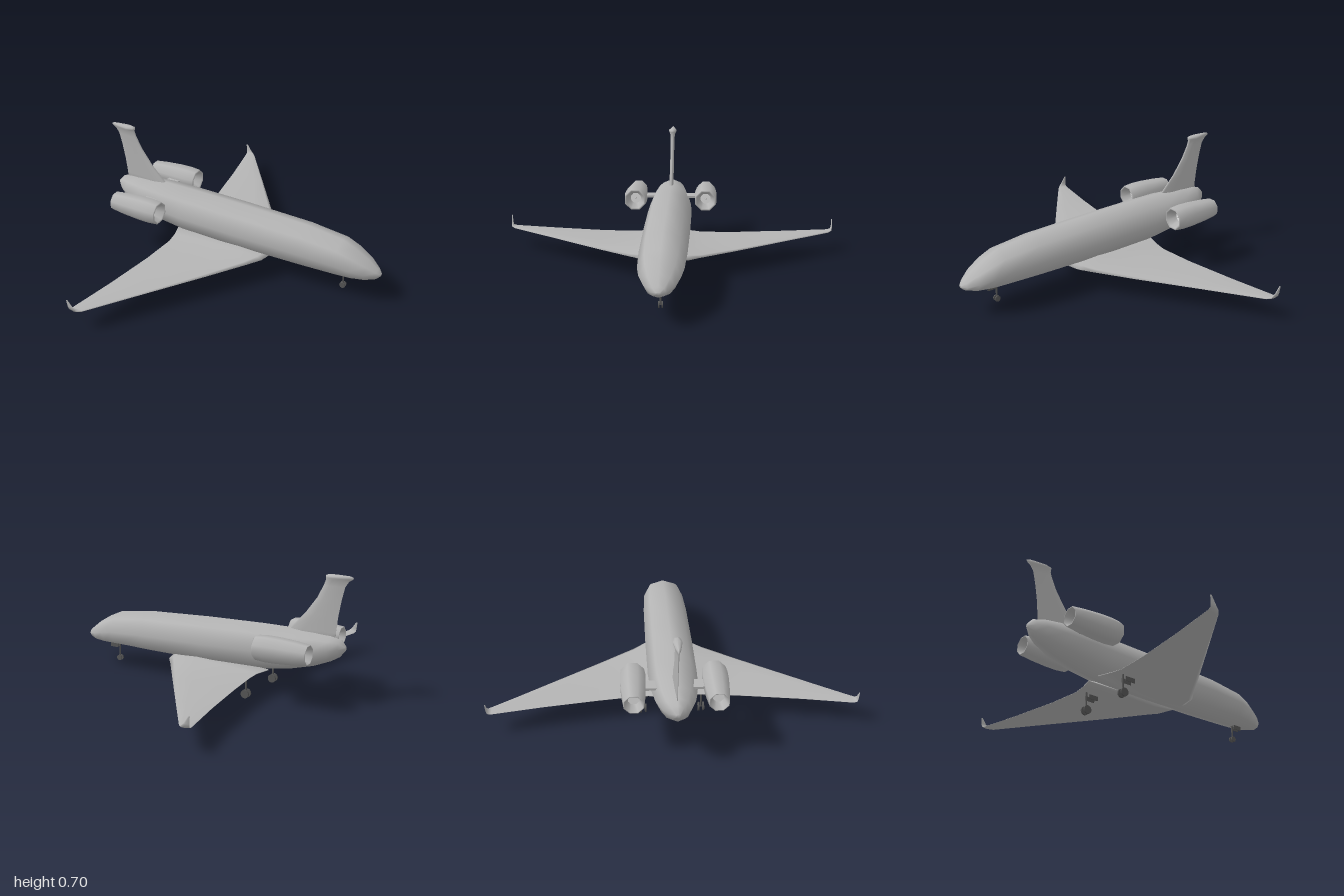
import * as THREE from 'three';

const paint = new THREE.MeshStandardMaterial({ color: 0xb4b4b4 });
paint.name = 'grey paint';
const gearMetal = new THREE.MeshStandardMaterial({ color: 0x555555 });
gearMetal.name = 'dark gear metal';
const fanMetal = new THREE.MeshStandardMaterial({ color: 0xf0f0f0 });
fanMetal.name = 'pale fan metal';

// Skins a list of rings (arrays of [x, y, z]) into a closed solid, facing outward
function loft(rings) {
  const n = rings[0].length, pos = [], idx = [];
  rings.forEach(r => r.forEach(p => pos.push(...p)));
  for (let i = 0; i < rings.length - 1; i++) {
    for (let j = 0; j < n; j++) {
      const a = i * n + j, b = i * n + (j + 1) % n;
      idx.push(a, b, a + n, b, b + n, a + n);
    }
  }
  const last = (rings.length - 1) * n;
  for (let j = 1; j < n - 1; j++) {
    idx.push(0, j + 1, j, last, last + j, last + j + 1);
  }
  // flip the winding when the enclosed volume comes out negative
  let volume = 0;
  const v = i => new THREE.Vector3().fromArray(pos, i * 3);
  for (let i = 0; i < idx.length; i += 3) volume += v(idx[i]).dot(v(idx[i + 1]).cross(v(idx[i + 2])));
  if (volume < 0) idx.reverse();
  const g = new THREE.BufferGeometry();
  g.setAttribute('position', new THREE.Float32BufferAttribute(pos, 3));
  g.setIndex(idx);
  g.computeVertexNormals();
  return g;
}

// Aerofoil outline: chord fraction, thickness fraction
const FOIL = [[0, 0], [0.05, 0.6], [0.3, 1], [0.7, 0.6], [1, 0.08], [1, -0.08], [0.7, -0.6], [0.3, -1], [0.05, -0.6]];

function add(parent, name, geometry, material, x = 0, y = 0, z = 0) {
  const m = new THREE.Mesh(geometry, material);
  m.name = name;
  m.position.set(x, y, z);
  parent.add(m);
  return m;
}

function fuselage() {
  // x, bottom, top, half width
  const stations = [
    [-0.83, 0.30, 0.325, 0.012], [-0.8, 0.262, 0.358, 0.045], [-0.75, 0.232, 0.37, 0.075],
    [-0.65, 0.19, 0.38, 0.105], [-0.5, 0.15, 0.388, 0.126], [-0.35, 0.128, 0.388, 0.133],
    [0, 0.117, 0.38, 0.134], [0.4, 0.119, 0.362, 0.13], [0.62, 0.124, 0.332, 0.121],
    [0.7, 0.127, 0.297, 0.108], [0.78, 0.134, 0.25, 0.078], [0.835, 0.15, 0.205, 0.04],
    [0.855, 0.168, 0.184, 0.012]];
  return loft(stations.map(([x, lo, hi, w]) => Array.from({ length: 8 }, (_, i) => {
    const a = i * Math.PI / 4;
    return [x, (lo + hi) / 2 + Math.cos(a) * (hi - lo) / 2, Math.sin(a) * w];
  })));
}

function wing(side) {
  // z, leading x, trailing x, y, half thickness, upward cant
  const stations = [
    [0.04, 0.22, -0.40, 0.138, 0.028, 0], [0.13, 0.195, -0.375, 0.136, 0.024, 0],
    [0.2, 0.14, -0.37, 0.13, 0.013, 0], [0.4, -0.005, -0.39, 0.126, 0.009, 0],
    [0.7, -0.222, -0.435, 0.125, 0.007, 0], [0.97, -0.418, -0.485, 0.124, 0.006, 0],
    [0.99, -0.437, -0.489, 0.13, 0.006, 0.9], [0.995, -0.46, -0.491, 0.15, 0.004, 1.5],
    [0.997, -0.486, -0.495, 0.188, 0.003, 1.5]];
  return loft(stations.map(([z, le, te, y, t, cant]) => FOIL.map(([u, h]) =>
    [le + (te - le) * u, y + h * t * Math.cos(cant), side * (z - h * t * Math.sin(cant))])));
}

function fin() {
  // y, leading x, trailing x, half thickness
  const stations = [
    [0.34, -0.47, -0.77, 0.013], [0.39, -0.51, -0.772, 0.013], [0.48, -0.595, -0.782, 0.012],
    [0.57, -0.66, -0.798, 0.012], [0.64, -0.695, -0.815, 0.012], [0.67, -0.706, -0.835, 0.016],
    [0.683, -0.704, -0.856, 0.023], [0.693, -0.704, -0.86, 0.023], [0.7, -0.72, -0.845, 0.012]];
  return loft(stations.map(([y, le, te, t]) => FOIL.map(([u, h]) => [le + (te - le) * u, y, h * t])));
}

function engine(side) {
  const g = new THREE.Group();
  g.name = side > 0 ? 'leftEngine' : 'rightEngine';
  g.position.set(-0.565, 0.314, side * 0.216);
  // nacelle with a hollow intake and exhaust
  const profile = [[0.03, -0.1], [0.05, -0.154], [0.055, -0.154], [0.064, -0.08], [0.071, 0.02], [0.072, 0.09],
    [0.067, 0.145], [0.062, 0.151], [0.056, 0.145], [0.032, 0.09]].map(p => new THREE.Vector2(...p));
  const nacelle = add(g, 'nacelle', new THREE.LatheGeometry(profile, 8, Math.PI / 8), paint);
  nacelle.rotation.z = -Math.PI / 2;
  // fan face, spinner and exhaust plug
  const fan = add(g, 'fan', new THREE.CylinderGeometry(0.034, 0.034, 0.006, 8), fanMetal, 0.09);
  fan.rotation.z = -Math.PI / 2;
  const spinner = add(g, 'spinner', new THREE.ConeGeometry(0.007, 0.03, 8), paint, 0.105);
  spinner.rotation.z = -Math.PI / 2;
  const plug = add(g, 'exhaust', new THREE.CylinderGeometry(0.034, 0.034, 0.006, 8), fanMetal, -0.1);
  plug.rotation.z = -Math.PI / 2;
  add(g, 'pylon', new THREE.BoxGeometry(0.075, 0.014, 0.08), paint, 0.02, 0, -side * 0.085);
  return g;
}

// Strut, axle, twin wheels and bay doors
function gear(name, x, z, top, radius, track, doorX, doorY, doorSize) {
  const g = new THREE.Group();
  g.name = name;
  g.position.set(x, 0, z);
  const hub = name === 'noseGear' ? 0.04 : radius;
  add(g, 'strut', new THREE.CylinderGeometry(0.005, 0.005, top - hub, 8), gearMetal, 0, (top + hub) / 2);
  const axle = add(g, 'axle', new THREE.CylinderGeometry(0.004, 0.004, track * 2, 6), gearMetal, 0, hub);
  axle.rotation.x = Math.PI / 2;
  for (const s of [-1, 1]) {
    const wheel = add(g, 'wheel', new THREE.CylinderGeometry(radius, radius, track * 0.7, 12), gearMetal, 0, hub, s * track);
    wheel.rotation.x = Math.PI / 2;
    add(g, 'door', new THREE.BoxGeometry(doorSize, 0.025, 0.004), gearMetal, doorX, doorY, s * track * 1.3);
  }
  return g;
}

export function createModel() {
  const model = new THREE.Group();
  model.name = 'businessJet';
  add(model, 'fuselage', fuselage(), paint);
  add(model, 'tailFin', fin(), paint);
  for (const side of [1, -1]) {
    add(model, side > 0 ? 'leftWing' : 'rightWing', wing(side), paint);
    model.add(engine(side));
    model.add(gear('mainGear', -0.325, side * 0.16, 0.13, 0.024, 0.013, 0.035, 0.102, 0.06));
  }
  model.add(gear('noseGear', 0.64, 0, 0.14, 0.017, 0.009, 0.032, 0.118, 0.055));
  return model;
}
